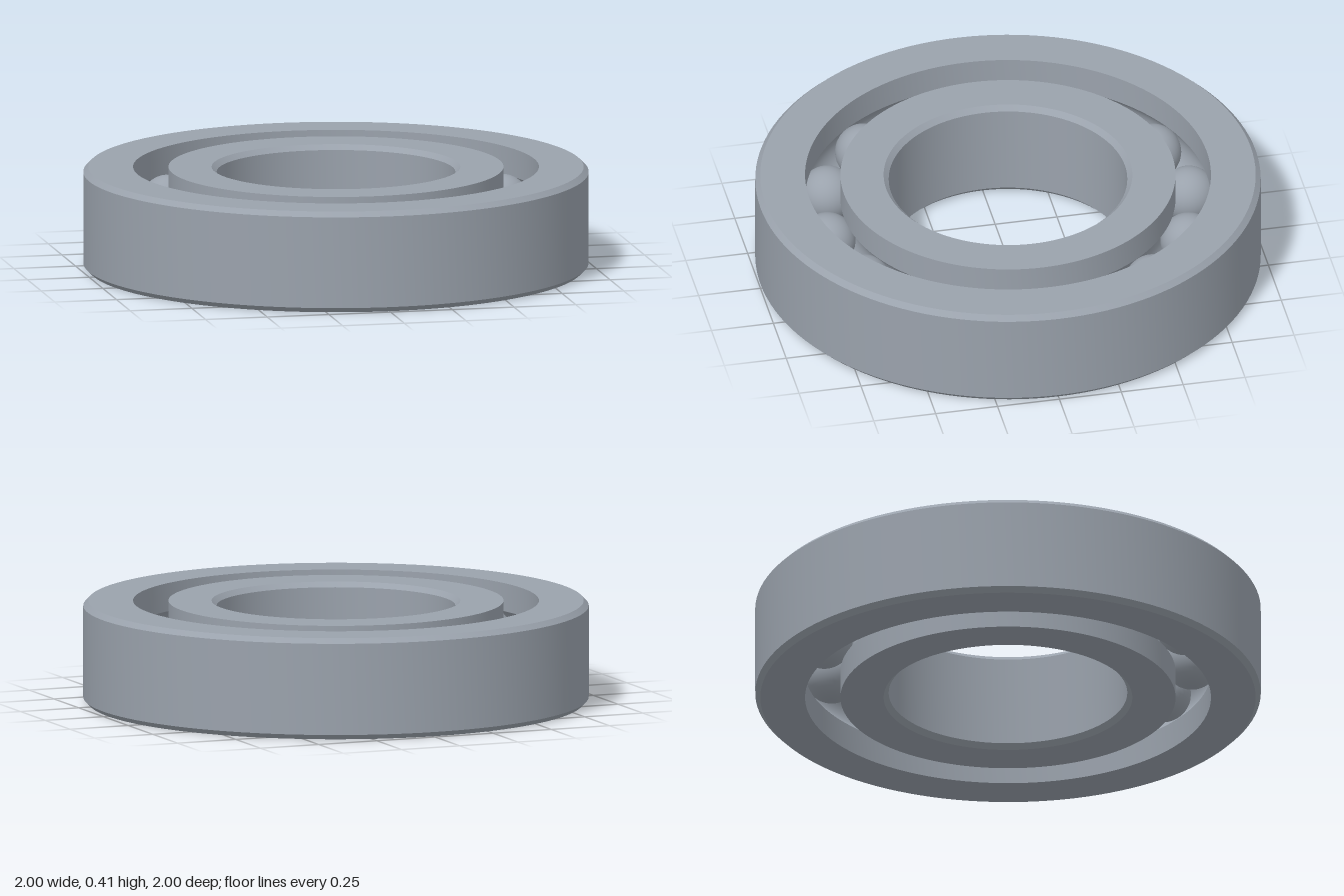
import * as THREE from 'three';
import { toCreasedNormals } from 'three/addons/utils/BufferGeometryUtils.js';

const HEIGHT = 0.405, MID = HEIGHT / 2, CHAMFER = 0.02;
const PITCH = 0.733;         // radius of the circle of ball centres
const BALL = 0.112, GROOVE = 0.114;
const BALLS = 14;

// Ball groove: an arc of the race section, at a wall of the given radius
function groove(wall) {
  const side = Math.sign(wall - PITCH);
  const half = Math.acos(Math.abs(wall - PITCH) / GROOVE);
  const points = [];
  for (let i = 0; i <= 16; i++) {
    const a = half * (1 - i / 8);
    points.push([PITCH + side * GROOVE * Math.cos(a), MID + side * GROOVE * Math.sin(a)]);
  }
  return points;
}

// Closed profile turned about y, with sharp corners kept
function ring(name, profile, material) {
  const points = [...profile, profile[0]].map(([r, y]) => new THREE.Vector2(r, y));
  const geometry = toCreasedNormals(new THREE.LatheGeometry(points, 128), 0.5);
  const mesh = new THREE.Mesh(geometry, material);
  mesh.name = name;
  return mesh;
}

export function createModel() {
  const group = new THREE.Group();
  group.name = 'ballBearing';
  const steel = new THREE.MeshStandardMaterial({ color: 0x9aa2ac });
  steel.name = 'steel';

  // Outer ring: chamfered outside, grooved inside
  group.add(ring('outerRing', [
    [0.803, 0], [1 - CHAMFER, 0], [1, CHAMFER], [1, HEIGHT - CHAMFER],
    [1 - CHAMFER, HEIGHT], [0.803, HEIGHT], ...groove(0.803),
  ], steel));

  // Inner ring: grooved outside, chamfered bore
  const bore = 0.472;
  group.add(ring('innerRing', [
    [0.663, 0], ...groove(0.663), [0.663, HEIGHT], [bore + CHAMFER, HEIGHT],
    [bore, HEIGHT - CHAMFER], [bore, CHAMFER], [bore + CHAMFER, 0],
  ], steel));

  // Balls, evenly spaced in the race
  const balls = new THREE.Group();
  balls.name = 'balls';
  const sphere = new THREE.SphereGeometry(BALL, 32, 20);
  for (let i = 0; i < BALLS; i++) {
    const a = 0.206 + (i / BALLS) * Math.PI * 2;
    const ball = new THREE.Mesh(sphere, steel);
    ball.name = 'ball';
    ball.position.set(PITCH * Math.cos(a), MID, PITCH * Math.sin(a));
    balls.add(ball);
  }
  group.add(balls);
  return group;
}
